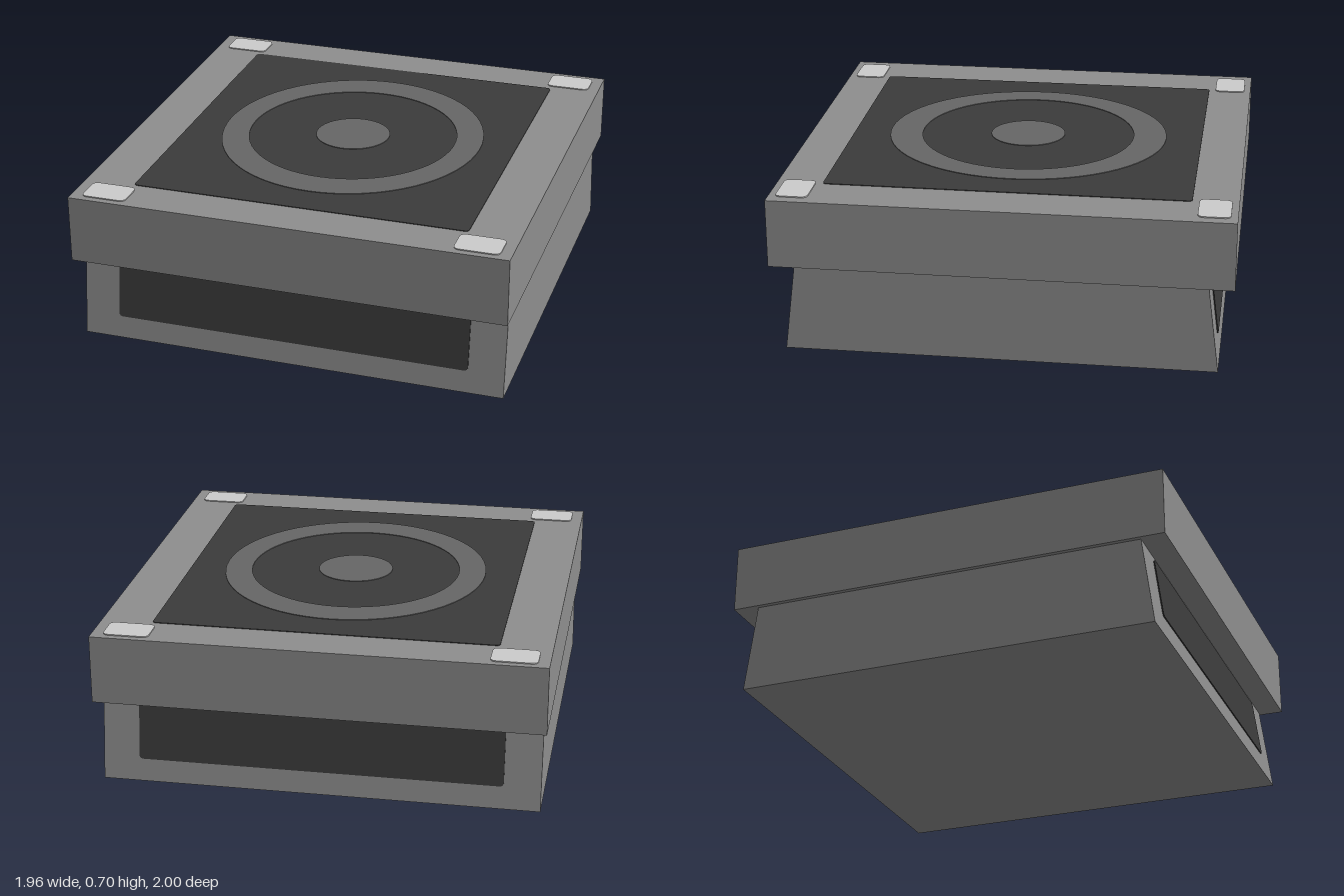
import * as THREE from 'three';

const paint = (name, color) => {
  const m = new THREE.MeshStandardMaterial({ color });
  m.name = name;
  return m;
};

// Rectangle with rounded corners, centred on the origin
function roundedRect(w, h, r) {
  const x = w / 2, y = h / 2;
  const s = new THREE.Shape();
  s.moveTo(-x + r, -y);
  s.lineTo(x - r, -y).quadraticCurveTo(x, -y, x, -y + r);
  s.lineTo(x, y - r).quadraticCurveTo(x, y, x - r, y);
  s.lineTo(-x + r, y).quadraticCurveTo(-x, y, -x, y - r);
  s.lineTo(-x, -y + r).quadraticCurveTo(-x, -y, -x + r, -y);
  return s;
}

function ellipse(rx, ry, hole) {
  const s = new THREE.Shape();
  s.absellipse(0, 0, rx, ry, 0, Math.PI * 2);
  if (hole) {
    const h = new THREE.Path();
    h.absellipse(0, 0, hole[0], hole[1], 0, Math.PI * 2);
    s.holes.push(h);
  }
  return s;
}

// Thin plate facing +z
const plate = (shape, depth) =>
  new THREE.ExtrudeGeometry(shape, { depth, bevelEnabled: false, curveSegments: 32 });

export function createModel() {
  const grey = paint('casing grey', 0x8e8e8e);
  const dark = paint('panel charcoal', 0x3b3b3b);
  const mid = paint('ring grey', 0x666666);
  const pale = paint('pad light grey', 0xcbcbcb);

  const model = new THREE.Group();
  const add = (name, geometry, material, parent = model) => {
    const mesh = new THREE.Mesh(geometry, material);
    mesh.name = name;
    parent.add(mesh);
    return mesh;
  };

  // Base, with front and back leaning inwards
  const H = 0.39, zBottom = 0.94, zTop = 0.89;
  const base = new THREE.BoxGeometry(1.92, H, 2 * zBottom).translate(0, H / 2, 0);
  const p = base.attributes.position;
  for (let i = 0; i < p.count; i++) {
    if (p.getY(i) > H / 2) p.setZ(i, Math.sign(p.getZ(i)) * zTop);
  }
  base.computeVertexNormals();
  add('base', base, grey);

  // Overhanging lid
  const top = 0.694;
  add('lid', new THREE.BoxGeometry(1.96, top - H, 2).translate(0, (top + H) / 2, 0), grey);

  // Dark panels on the sloping front and back
  const tilt = Math.atan2(zBottom - zTop, H);
  const y = 0.238;
  for (const [name, turn] of [['frontPanel', 0], ['backPanel', Math.PI]]) {
    const side = new THREE.Group();
    side.rotation.y = turn;
    model.add(side);
    const panel = add(name, plate(roundedRect(1.6, 0.275, 0.02), 0.005), dark, side);
    panel.position.set(0, y, zBottom - (zBottom - zTop) * y / H);
    panel.rotation.x = -tilt;
  }

  // Flat details on the lid
  const flat = (name, shape, depth, material, x = 0, z = 0, h = top) =>
    add(name, plate(shape, depth).rotateX(-Math.PI / 2).translate(x, h, z), material);
  flat('topPanel', roundedRect(1.51, 1.6, 0.02), 0.003, dark);
  flat('ring', ellipse(0.6, 0.638, [0.478, 0.488]), 0.003, mid, 0, 0, top + 0.003);
  flat('centreDisc', ellipse(0.17, 0.17), 0.003, mid, 0, 0, top + 0.003);
  for (const sx of [-1, 1]) {
    for (const sz of [-1, 1]) {
      flat('cornerPad', roundedRect(0.2, 0.14, 0.03), 0.005, pale, sx * 0.83, sz * 0.9);
    }
  }
  return model;
}
